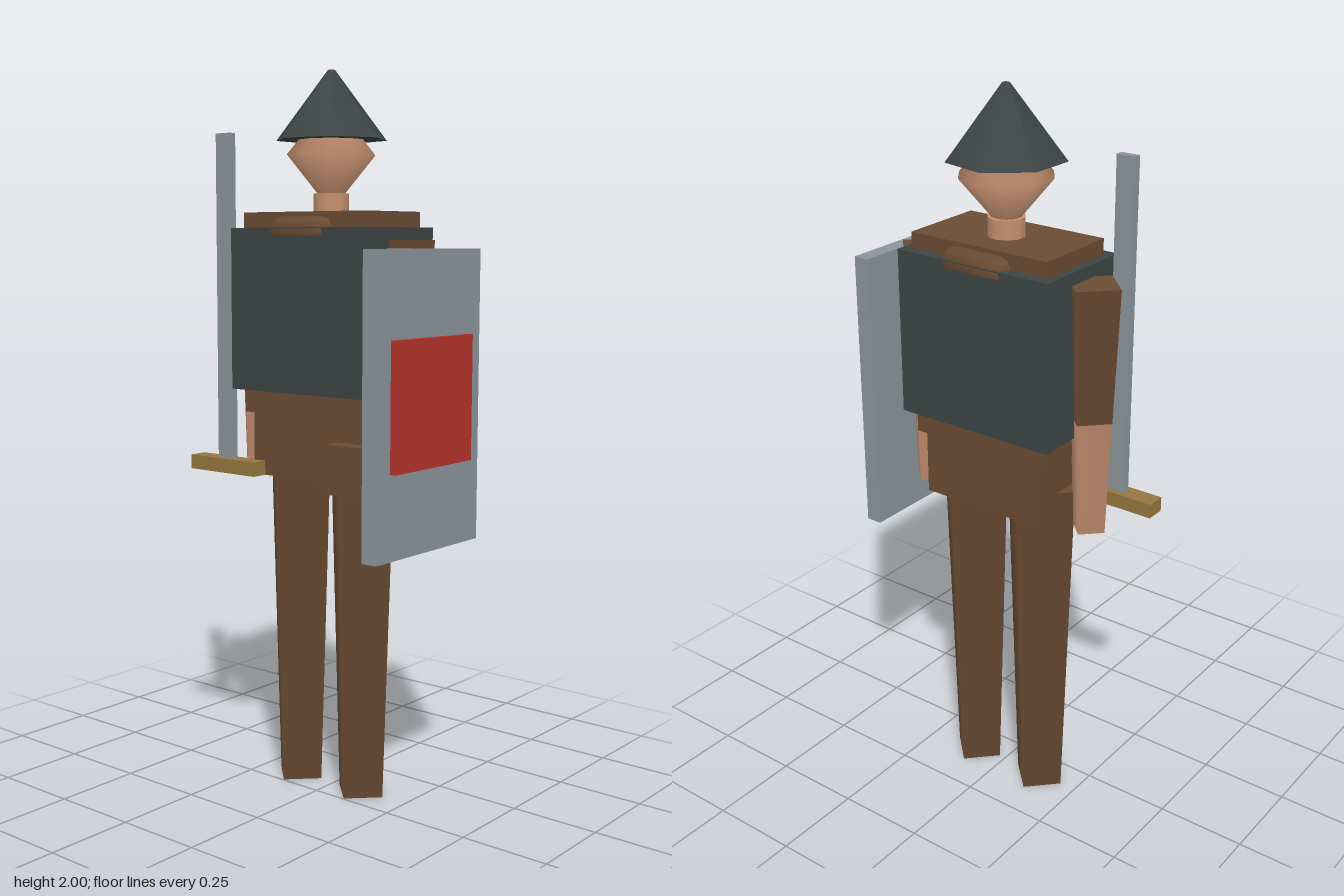
import * as THREE from 'three';

const material = (name, color) => {
  const m = new THREE.MeshStandardMaterial({ color });
  m.name = name;
  return m;
};

export function createModel() {
  const leather = material('brown leather', 0x6b4c34);
  const iron = material('dark iron', 0x3d4545);
  const steel = material('grey steel', 0x8c959b);
  const red = material('red paint', 0xb5342c);
  const skin = material('skin', 0xc49070);
  const brass = material('brass', 0x957640);

  const model = new THREE.Group();
  model.name = 'soldier';
  const cx = -0.014, cz = -0.08; // axis of the body

  const add = (name, geometry, mat, x = 0, y = 0, z = 0) => {
    const mesh = new THREE.Mesh(geometry, mat);
    mesh.name = name;
    mesh.position.set(x, y, z);
    model.add(mesh);
    return mesh;
  };
  // Box given by its limits on each axis
  const box = (name, mat, [x0, x1], [y0, y1], [z0, z1]) =>
    add(name, new THREE.BoxGeometry(x1 - x0, y1 - y0, z1 - z0), mat,
      (x0 + x1) / 2, (y0 + y1) / 2, (z0 + z1) / 2);
  // Tapered post between two heights
  const post = (name, mat, rTop, rBottom, y0, y1, x, sides) =>
    add(name, new THREE.CylinderGeometry(rTop, rBottom, y1 - y0, sides), mat, x, (y0 + y1) / 2, cz);

  // Trunk, breastplate, hips and belt pouch
  box('torso', leather, [-0.225, 0.197], [1.07, 1.622], [-0.2, 0.042]);
  box('breastplate', iron, [-0.248, 0.219], [1.135, 1.58], [-0.23, 0.07]);
  box('hips', leather, [-0.2, 0.172], [0.895, 1.07], [-0.192, 0.032]);
  box('pouch', leather, [0.102, 0.224], [0.875, 1.01], [0.003, 0.081]);

  // Six-sided collar ring
  const collar = new THREE.TorusGeometry(0.132, 0.045, 8, 6);
  collar.rotateX(Math.PI / 2);
  add('collar', collar, leather, cx, 1.568, cz);

  // Four-sided limbs
  for (const [side, s] of [['left', 1], ['right', -1]]) {
    post(side + 'Leg', leather, 0.11, 0.077, 0, 0.965, cx + s * 0.111, 4);
    post(side + 'UpperArm', leather, 0.08, 0.064, 1.19, 1.547, cx + s * 0.266, 4);
    post(side + 'Forearm', skin, 0.063, 0.05, 0.875, 1.19, cx + s * 0.266, 4);
  }

  // Neck and double-cone head
  post('neck', skin, 0.05, 0.05, 1.6, 1.672, cx, 10);
  const headProfile = [[0, -0.15], [0.124, 0], [0, 0.15]].map(([r, y]) => new THREE.Vector2(r, y));
  add('head', new THREE.LatheGeometry(headProfile, 10), skin, cx, 1.775, cz);

  // Seven-sided helmet
  const helmet = post('helmet', iron, 0.01, 0.155, 1.815, 2.0, cx, 7);
  helmet.rotation.y = Math.PI / 2;

  // Shield with a painted panel on its outer face
  box('shield', steel, [0.34, 0.385], [0.748, 1.525], [-0.213, 0.232]);
  box('shieldPanel', red, [0.385, 0.402], [0.97, 1.303], [-0.157, 0.176]);

  // Sword held upright
  box('swordBlade', steel, [-0.308, -0.255], [0.935, 1.838], [0.043, 0.065]);
  box('swordGuard', brass, [-0.402, -0.16], [0.895, 0.935], [0.026, 0.081]);

  return model;
}
